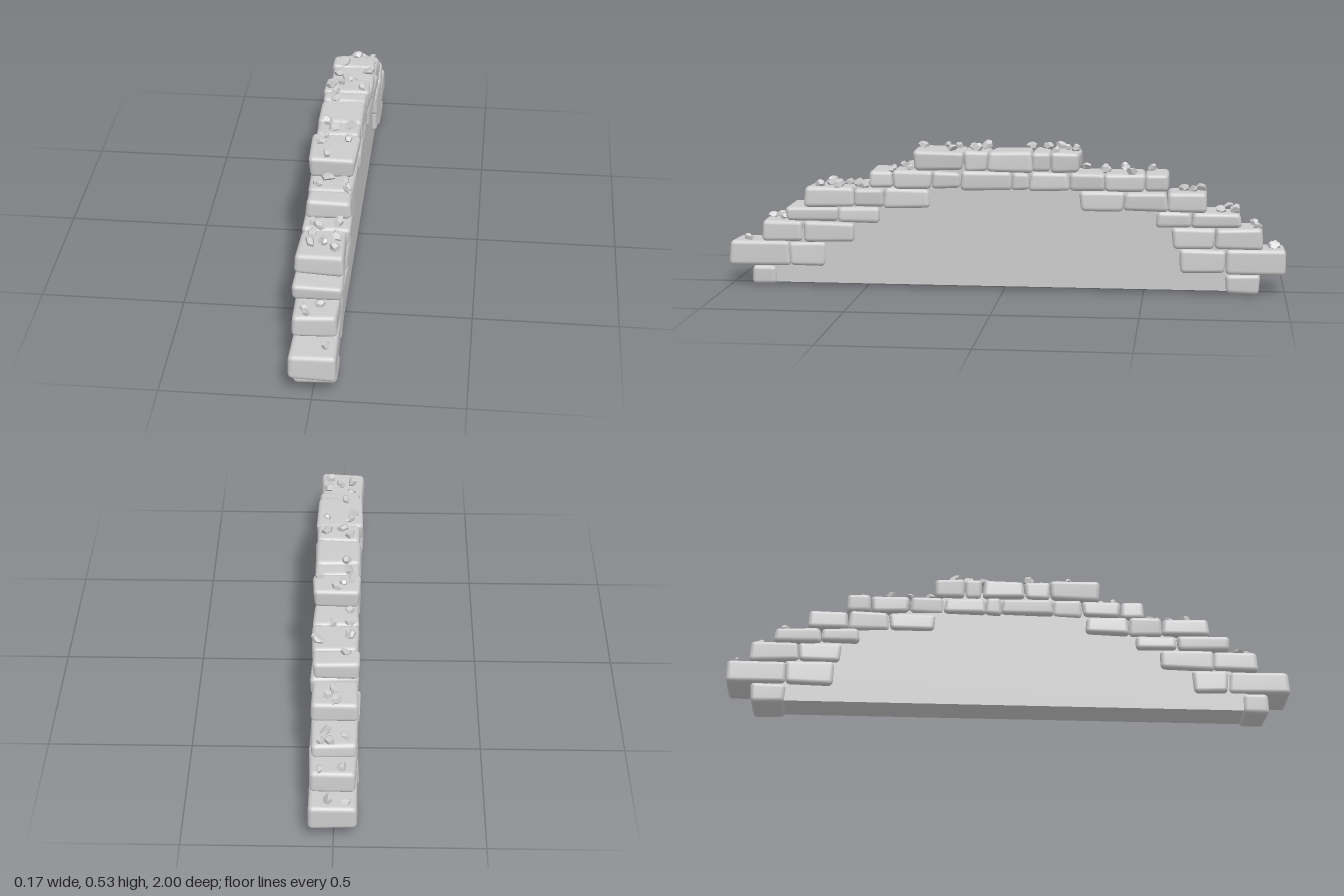
import * as THREE from 'three';
import { RoundedBoxGeometry } from 'three/addons/geometries/RoundedBoxGeometry.js';
import { mergeVertices } from 'three/addons/utils/BufferGeometryUtils.js';

const material = new THREE.MeshStandardMaterial({ color: 0xcccccc });
const rubbleMaterial = new THREE.MeshStandardMaterial({ color: 0xcccccc, flatShading: true });

// Heights of the course joints, bottom to top
const LEVELS = [0, 0.072, 0.16, 0.235, 0.29, 0.36, 0.425, 0.498];

// Runs of stones: course number, then the z of each joint along the run
const RUNS = [
  [0, [0.92, 0.83]], [0, [-0.79, -0.91]],
  [1, [1, 0.78, 0.65]], [1, [-0.625, -0.79, -1]],
  [2, [0.885, 0.73, 0.54]], [2, [-0.6, -0.75, -0.92]],
  [3, [0.79, 0.6, 0.45]], [3, [-0.54, -0.67, -0.84]],
  [4, [0.72, 0.545, 0.43, 0.27]], [4, [-0.27, -0.43, -0.58, -0.72]],
  [5, [0.485, 0.4, 0.26, 0.155, -0.03, -0.09, -0.235, -0.36, -0.5, -0.585]],
  [6, [0.325, 0.145, 0.055, -0.1, -0.165, -0.27]],
];

// Rubble: course it lies on, then [x, z] of each chip
const RUBBLE = [
  [1, [[-0.04, -0.97], [0.02, -0.96], [0.045, 0.935]]],
  [2, [[-0.03, -0.89], [0.05, -0.9], [-0.045, 0.83], [0.01, 0.81], [-0.03, 0.86]]],
  [3, [[0.01, -0.82], [-0.035, -0.8], [0.045, -0.82], [0.03, -0.77]]],
  [4, [[0, -0.7], [0.025, -0.67], [0, -0.64], [-0.045, 0.51], [0.04, 0.505], [-0.02, 0.535],
    [-0.04, 0.58], [0.045, 0.6], [-0.035, 0.64], [0, 0.63], [0.04, 0.67]]],
  [5, [[-0.035, -0.52], [-0.045, -0.43], [0.06, -0.455], [-0.045, -0.355], [0.015, -0.36],
    [-0.04, -0.29], [-0.045, 0.37], [-0.01, 0.34], [0.045, 0.345], [0.06, 0.4]]],
  [6, [[0, -0.25], [-0.055, -0.2], [-0.02, -0.22], [0.06, -0.19], [-0.04, -0.15], [-0.03, -0.09],
    [-0.045, 0.07], [-0.01, 0.115], [0.045, 0.1], [-0.04, 0.17], [-0.05, 0.21], [0.045, 0.185],
    [-0.025, 0.3]]],
];

function seeded(seed) {
  return () => {
    seed = (seed * 16807) % 2147483647;
    return seed / 2147483647;
  };
}

// A worn block: rounded box whose corners are pushed in or out by a smooth rule
function stoneGeometry(w, h, d, rand) {
  const box = new RoundedBoxGeometry(w, h, d, 3, Math.min(0.016, d * 0.25));
  box.deleteAttribute('normal');
  box.deleteAttribute('uv');
  const geo = mergeVertices(box, 1e-5);
  const p = geo.attributes.position;
  const k = Array.from({ length: 6 }, () => rand() - 0.5);
  for (let i = 0; i < p.count; i++) {
    const u = (2 * p.getX(i)) / w, v = (2 * p.getY(i)) / h, t = (2 * p.getZ(i)) / d;
    p.setXYZ(i,
      p.getX(i) + 0.007 * (k[0] * v * u + k[1] * t * u),
      p.getY(i) + 0.006 * (k[2] * u * v + k[3] * t * v),
      p.getZ(i) + 0.009 * (k[4] * v * t + k[5] * u * t));
  }
  geo.computeVertexNormals();
  return geo;
}

// An angular chip: a low polyhedron with its corners cut by a rule
function chipGeometry(r, rand) {
  const geo = new THREE.DodecahedronGeometry(r, 0);
  const p = geo.attributes.position;
  const dir = new THREE.Vector3(rand() - 0.5, rand() - 0.5, rand() - 0.5).normalize();
  const v = new THREE.Vector3();
  for (let i = 0; i < p.count; i++) {
    v.fromBufferAttribute(p, i);
    const over = v.dot(dir) - r * 0.3;
    if (over > 0) v.addScaledVector(dir, -over);
    p.setXYZ(i, v.x, v.y, v.z);
  }
  geo.computeVertexNormals();
  return geo;
}

function addMesh(parent, name, geometry, mat = material) {
  const mesh = new THREE.Mesh(geometry, mat);
  mesh.name = name;
  parent.add(mesh);
  return mesh;
}

export function createModel() {
  const model = new THREE.Group();
  model.name = 'ruinedWall';
  const rand = seeded(4217);

  // Plain infill slab, its stepped arch outline hidden behind the stones
  const half = [[0.85, 0.01], [0.85, 0.11], [0.74, 0.2], [0.65, 0.265], [0.5, 0.33], [0.3, 0.39], [0.2, 0.45]];
  const outline = [...half, ...half.map(([z, y]) => [-z, y]).reverse()];
  const shape = new THREE.Shape(outline.map(([z, y]) => new THREE.Vector2(z, y)));
  const slab = new THREE.ExtrudeGeometry(shape, { depth: 0.126, bevelEnabled: false });
  slab.translate(0, 0, -0.063).rotateY(-Math.PI / 2);
  addMesh(model, 'infillSlab', slab);

  // Stone courses stepping up both ends and across the top
  const stones = new THREE.Group();
  stones.name = 'stones';
  model.add(stones);
  for (const [row, joints] of RUNS) {
    const h = LEVELS[row + 1] - LEVELS[row];
    for (let i = 0; i + 1 < joints.length; i++) {
      const d = joints[i] - joints[i + 1];
      const w = 0.148 + 0.014 * rand();
      const stone = addMesh(stones, 'stone', stoneGeometry(w, h, d, rand));
      stone.position.set((rand() - 0.5) * 0.008, LEVELS[row] + h / 2, (joints[i] + joints[i + 1]) / 2);
    }
  }

  // Loose chips lying on the exposed steps
  const rubble = new THREE.Group();
  rubble.name = 'rubble';
  model.add(rubble);
  for (const [row, spots] of RUBBLE) {
    for (const [x, z] of spots) {
      const r = 0.017 + 0.008 * rand();
      const chip = addMesh(rubble, 'chip', chipGeometry(r, rand), rubbleMaterial);
      chip.position.set(x, LEVELS[row + 1] + r * 0.4, z);
      chip.rotation.set((rand() - 0.5) * 0.8, rand() * 6.28, (rand() - 0.5) * 0.8);
      chip.scale.set(1.1, 0.75, 0.8);
    }
  }
  return model;
}
